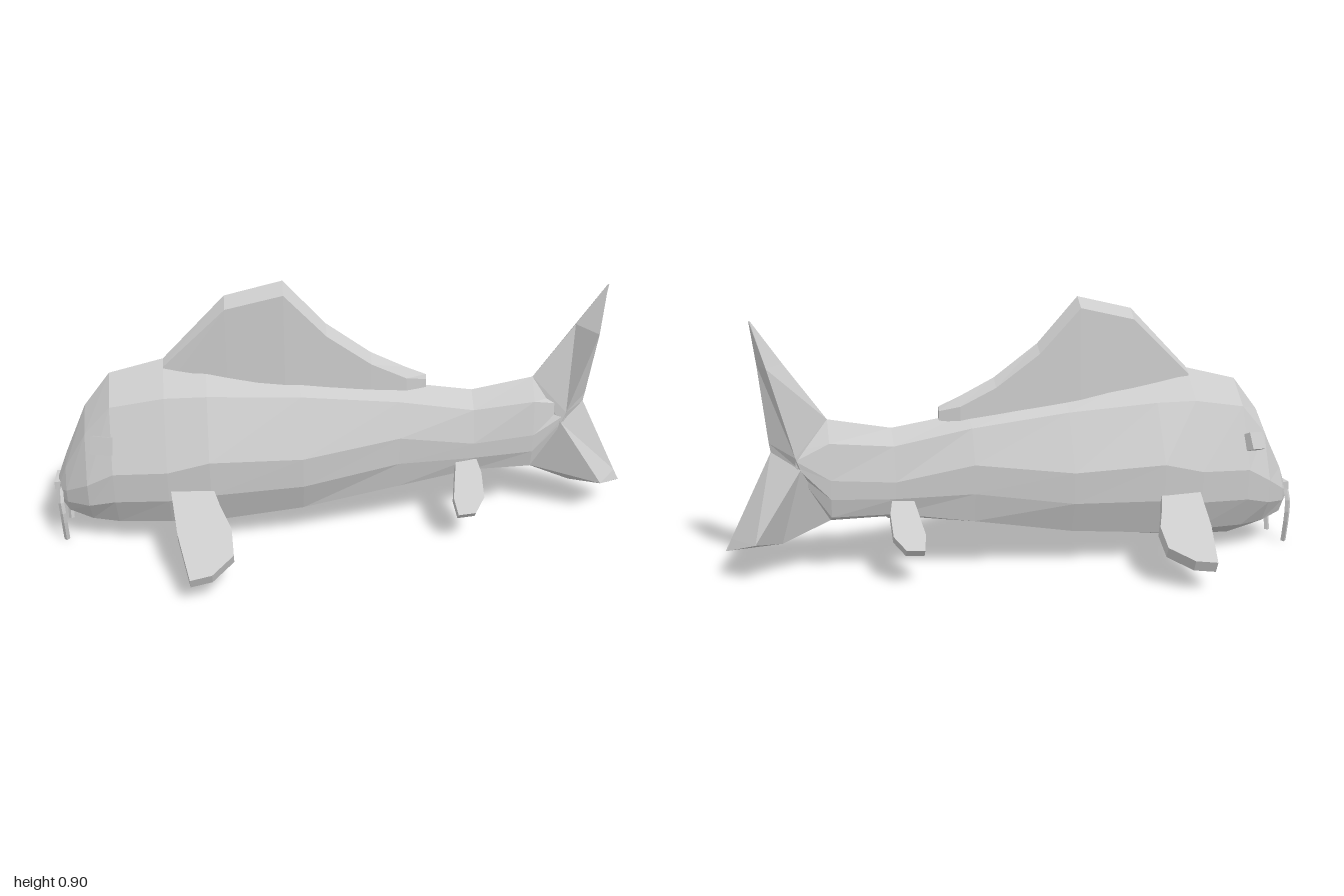
import * as THREE from 'three';

const material = new THREE.MeshStandardMaterial({ color: 0xcccccc, flatShading: true });

function add(parent, name, geometry) {
  const mesh = new THREE.Mesh(geometry, material);
  mesh.name = name;
  parent.add(mesh);
  return mesh;
}

// Closed skin over a list of cross-section rings, all with the same point count
function loft(rings) {
  const n = rings[0].length;
  const index = [];
  for (let i = 0; i < rings.length - 1; i++) {
    for (let j = 0; j < n; j++) {
      const k = (j + 1) % n;
      const a = i * n + j, b = i * n + k, c = b + n, d = a + n;
      index.push(a, b, d, b, c, d);
    }
  }
  const last = (rings.length - 1) * n;
  for (let j = 1; j < n - 1; j++) index.push(0, j + 1, j, last, last + j, last + j + 1);
  const geometry = new THREE.BufferGeometry();
  geometry.setAttribute('position', new THREE.Float32BufferAttribute(rings.flat(2), 3));
  geometry.setIndex(index);
  const flat = geometry.toNonIndexed();
  flat.computeVertexNormals();
  return flat;
}

// Body ring: crest, shoulder, flank, belly side, keel edge, underside, mirrored back up
function bodyRing([x, top, shY, shZ, midY, midZ, lowY, lowZ, bottom]) {
  const sideY = midY + (lowY - midY) * 0.5;
  const sideZ = midZ * 0.7 + Math.max(lowZ, midZ * 0.9) * 0.3;
  const half = [[shY, shZ], [midY, midZ], [sideY, sideZ], [lowY, lowZ]];
  return [
    [x, top, 0],
    ...half.map(([y, z]) => [x, y, z]),
    [x, bottom, 0],
    ...half.reverse().map(([y, z]) => [x, y, -z]),
  ];
}

// Flat paddle from an outline in (x, distance outward), sloping down and away
function paddle(points, thickness, slope, origin) {
  const shape = new THREE.Shape(points.map(([x, d]) => new THREE.Vector2(x, d)));
  const geometry = new THREE.ExtrudeGeometry(shape, { depth: thickness, bevelEnabled: false });
  geometry.rotateX(Math.PI / 2 + slope);
  geometry.translate(0, origin[0], origin[1]);
  return geometry;
}

export function createModel() {
  const fish = new THREE.Group();
  fish.name = 'fish';

  // Body, nose to tail root
  add(fish, 'body', loft([
    [-0.985, 0.22, 0.21, 0.02, 0.19, 0.035, 0.16, 0.03, 0.14],
    [-0.95, 0.31, 0.28, 0.05, 0.21, 0.085, 0.12, 0.06, 0.095],
    [-0.87, 0.49, 0.42, 0.08, 0.26, 0.145, 0.10, 0.09, 0.06],
    [-0.78, 0.605, 0.52, 0.09, 0.31, 0.168, 0.095, 0.11, 0.035],
    [-0.6, 0.65, 0.55, 0.10, 0.32, 0.19, 0.10, 0.135, 0.04],
    [-0.46, 0.635, 0.55, 0.10, 0.355, 0.197, 0.10, 0.14, 0.055],
    [-0.15, 0.585, 0.53, 0.09, 0.34, 0.173, 0.125, 0.125, 0.10],
    [0.18, 0.53, 0.49, 0.075, 0.375, 0.12, 0.175, 0.095, 0.155],
    [0.44, 0.49, 0.44, 0.06, 0.325, 0.088, 0.21, 0.065, 0.185],
    [0.65, 0.53, 0.46, 0.055, 0.34, 0.073, 0.21, 0.055, 0.185],
    [0.76, 0.46, 0.44, 0.04, 0.41, 0.062, 0.37, 0.04, 0.35],
  ].map(bodyRing)));

  // Forked tail: diamond sections (leading, side and trailing points), bottom to top
  add(fish, 'tailFin', loft([
    [[0.985, 0.105], [0.99, 0.105, 0.003], [0.995, 0.105]],
    [[0.81, 0.115], [0.9, 0.145, 0.092], [0.975, 0.145]],
    [[0.65, 0.185], [0.745, 0.38, 0.066], [0.835, 0.43]],
    [[0.65, 0.53], [0.76, 0.42, 0.066], [0.84, 0.46]],
    [[0.785, 0.72], [0.84, 0.72, 0.093], [0.867, 0.72]],
    [[0.88, 0.86], [0.882, 0.86, 0.003], [0.885, 0.86]],
  ].map(([lead, side, trail]) => [
    [...lead, 0], side, [...trail, 0], [side[0], side[1], -side[2]],
  ])));

  // Dorsal fin: ridge, shoulder and base heights with half width, front to back
  add(fish, 'dorsalFin', loft([
    [-0.6, 0.65, 0.63, 0.55, 0.025],
    [-0.39, 0.865, 0.83, 0.53, 0.038],
    [-0.2, 0.91, 0.875, 0.5, 0.046],
    [-0.06, 0.755, 0.725, 0.48, 0.042],
    [0.09, 0.645, 0.615, 0.46, 0.036],
    [0.21, 0.585, 0.555, 0.45, 0.028],
    [0.28, 0.555, 0.54, 0.45, 0.008],
  ].map(([x, ridge, shoulder, base, w]) => [
    [x, ridge, 0], [x, shoulder, w], [x, base, w * 1.1], [x, base, -w * 1.1], [x, shoulder, -w],
  ])));

  // Paired parts, built on +z and mirrored to -z
  for (const side of [1, -1]) {
    const half = new THREE.Group();
    half.name = side > 0 ? 'rightOrFrontSide' : 'backSide';
    half.name = side > 0 ? 'frontSide' : 'backSide';
    half.scale.z = side;
    fish.add(half);

    add(half, 'pectoralFin', paddle(
      [[-0.6, -0.06], [-0.47, -0.06], [-0.43, 0.07], [-0.395, 0.16], [-0.39, 0.26],
        [-0.46, 0.33], [-0.53, 0.345], [-0.57, 0.17]],
      0.04, 0.43, [0.25, 0.185]));

    add(half, 'pelvicFin', paddle(
      [[0.39, -0.05], [0.44, -0.05], [0.465, 0.06], [0.465, 0.15], [0.43, 0.205],
        [0.37, 0.21], [0.36, 0.15]],
      0.032, 0.7, [0.268, 0.075]));

    const eye = add(half, 'eye', new THREE.BoxGeometry(0.07, 0.06, 0.035));
    eye.position.set(-0.81, 0.4, 0.126);
    eye.rotation.set(-0.45, -0.5, -0.1);

    // Whisker curving out from the lip and hanging down
    const path = new THREE.CatmullRomCurve3([
      new THREE.Vector3(-0.97, 0.2, 0.025),
      new THREE.Vector3(-0.975, 0.19, 0.07),
      new THREE.Vector3(-0.97, 0.13, 0.088),
      new THREE.Vector3(-0.97, 0.008, 0.068),
    ]);
    add(half, 'barbel', new THREE.TubeGeometry(path, 6, 0.01, 4, false));
  }

  // Small lip at the nose
  const lip = add(fish, 'lip', new THREE.BoxGeometry(0.03, 0.03, 0.08));
  lip.position.set(-0.98, 0.205, 0);

  return fish;
}
